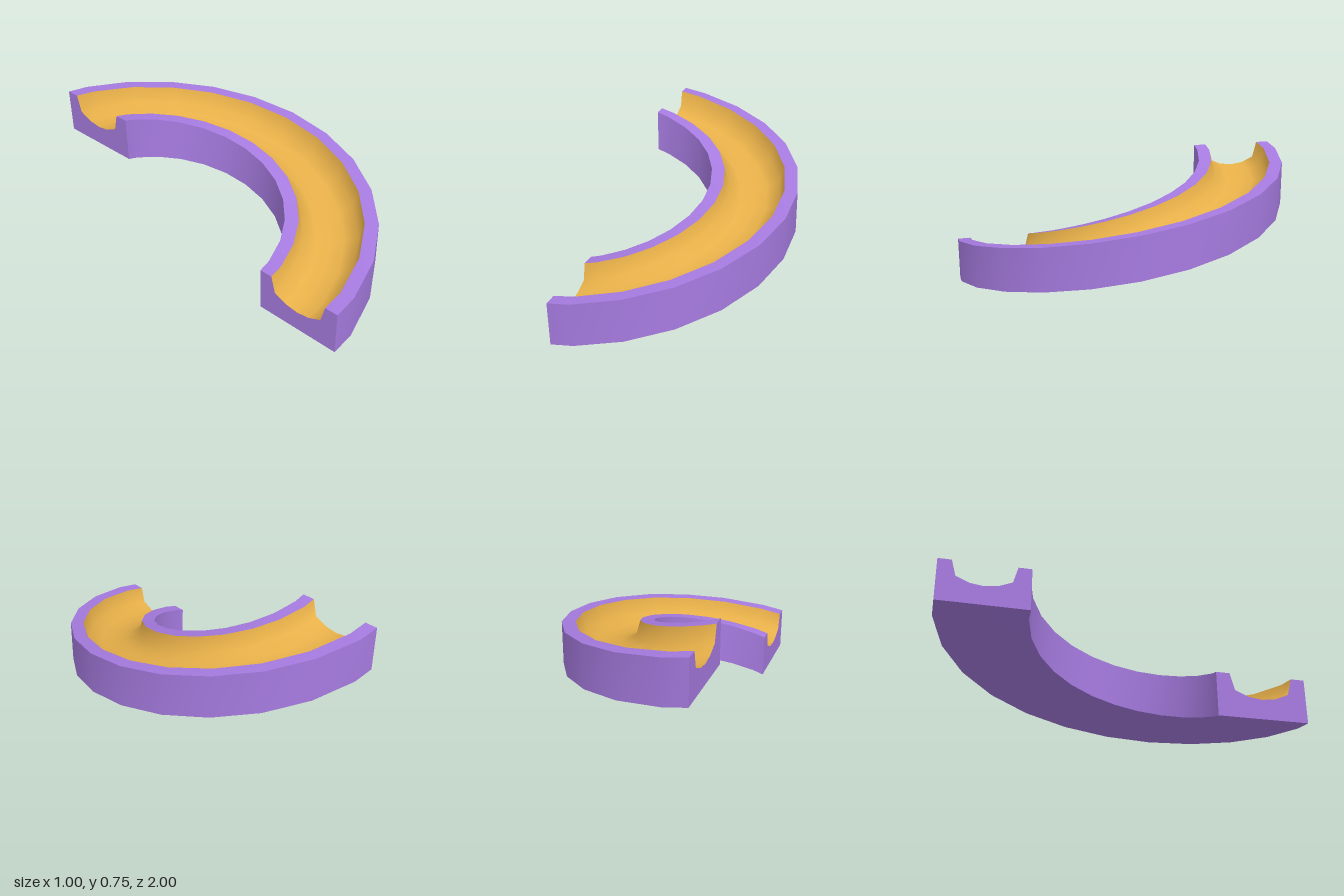
import * as THREE from 'three';

const INNER = 0.5, OUTER = 1, HEIGHT = 0.25, RISE = 0.5, LIP = 0.075;
const STEPS = 12;

// Channel cross-section [radius, height], from the inner lip to the outer lip
const half = [[0, 0], [0.025, 0.095], [0.1, 0.128], [0.175, 0.138]];
const channel = [
  ...half.map(([d, h]) => [INNER + LIP + d, HEIGHT - h]),
  ...half.slice(0, -1).reverse().map(([d, h]) => [OUTER - LIP - d, HEIGHT - h]),
];

// Angles of the rings: half a step at either end, full steps between
const stepAngle = Math.PI / STEPS;
const angles = [0];
for (let i = 0; i < STEPS; i++) angles.push((i + 0.5) * stepAngle);
angles.push(Math.PI);

// Sweeps a run of profile points along the half-turn helix
function sweep(profile) {
  const pos = [], index = [], n = profile.length;
  angles.forEach((a, i) => {
    const end = i === 0 || i === angles.length - 1;
    const k = end ? 1 : 1 / Math.cos(stepAngle / 2);
    for (const [r, h] of profile) {
      pos.push(-0.5 + r * k * Math.sin(a), h + RISE * a / Math.PI, r * k * Math.cos(a));
    }
    if (end && i > 0) return;
    for (let j = 0; j < n - 1; j++) {
      const p = i * n + j;
      index.push(p, p + 1, p + n, p + 1, p + n + 1, p + n);
    }
  });
  const g = new THREE.BufferGeometry();
  g.setAttribute('position', new THREE.Float32BufferAttribute(pos, 3));
  g.setIndex(index);
  g.computeVertexNormals();
  return g;
}

export function createModel() {
  const group = new THREE.Group();
  group.name = 'curvedRamp';
  const purple = new THREE.MeshStandardMaterial({ color: 0xa67be0 });
  purple.name = 'purple';
  const gold = new THREE.MeshStandardMaterial({ color: 0xf3b94d });
  gold.name = 'gold';

  const add = (name, geometry, material) => {
    const mesh = new THREE.Mesh(geometry, material);
    mesh.name = name;
    group.add(mesh);
    return mesh;
  };

  // Swept faces, each with its own smooth normals
  add('innerWall', sweep([[INNER, 0], [INNER, HEIGHT]]), purple);
  add('innerRim', sweep([[INNER, HEIGHT], [INNER + LIP, HEIGHT]]), purple);
  add('channel', sweep(channel), gold);
  add('outerRim', sweep([[OUTER - LIP, HEIGHT], [OUTER, HEIGHT]]), purple);
  add('outerWall', sweep([[OUTER, HEIGHT], [OUTER, 0]]), purple);
  add('underside', sweep([[OUTER, 0], [INNER, 0]]), purple);

  // Flat end faces at the bottom and top of the ramp
  const outline = [[INNER, 0], [OUTER, 0], [OUTER, HEIGHT], ...channel.slice().reverse(), [INNER, HEIGHT]];
  for (const [name, side, y] of [['lowerEnd', 1, 0], ['upperEnd', -1, RISE]]) {
    const shape = new THREE.Shape(outline.map(([r, h]) => new THREE.Vector2(r * side, h)));
    const cap = add(name, new THREE.ShapeGeometry(shape), purple);
    cap.rotation.y = -Math.PI / 2;
    cap.position.set(-0.5, y, 0);
  }
  return group;
}
